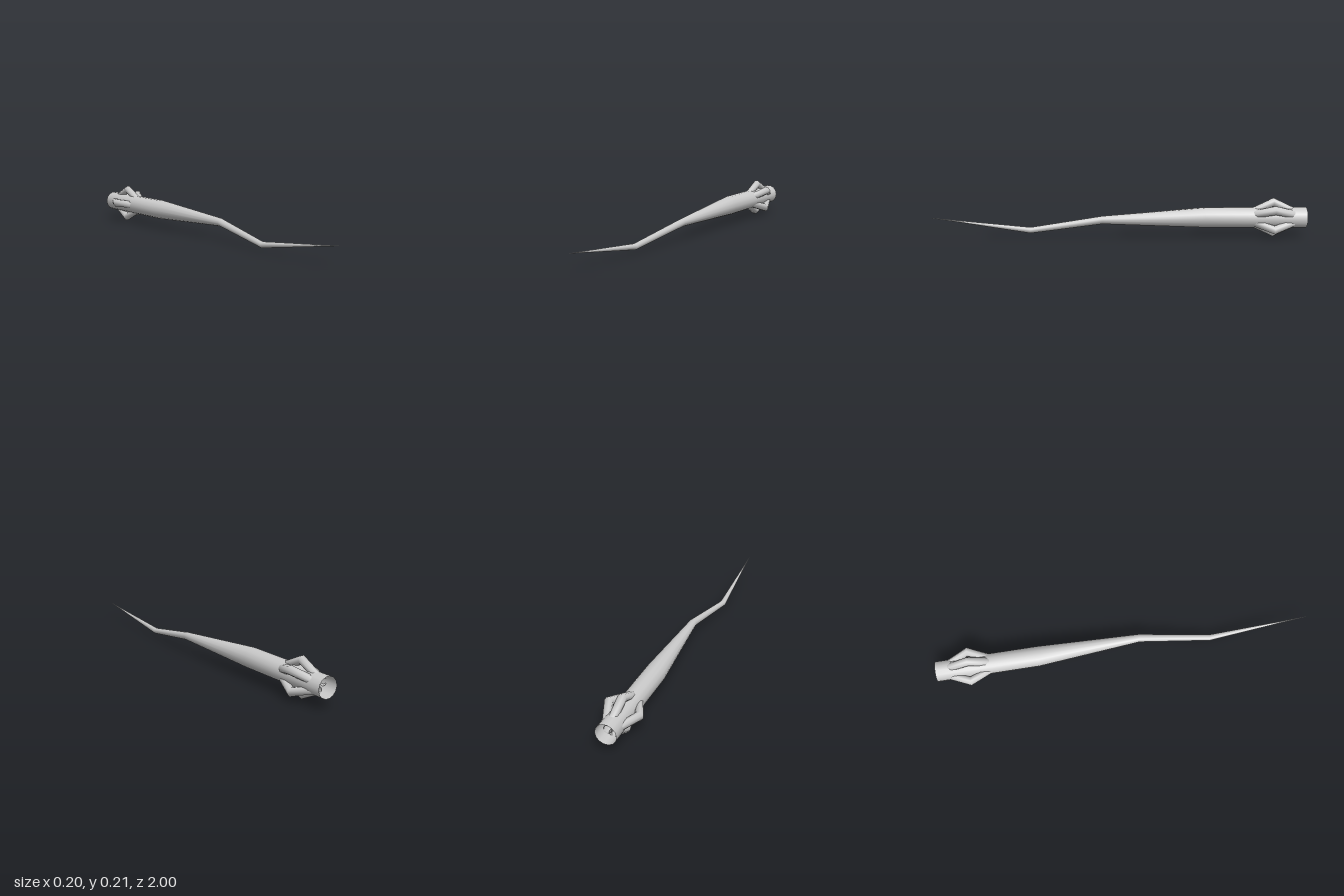
import * as THREE from 'three';

const material = new THREE.MeshStandardMaterial({ color: 0xcccccc, side: THREE.DoubleSide });

// Open tube through circular sections [x, y, z, radius], ordered along +z
function loft(name, sections, sides, phase = 0) {
  const positions = [], index = [];
  sections.forEach(([x, y, z, r], i) => {
    for (let j = 0; j < sides; j++) {
      const a = phase + (j / sides) * Math.PI * 2;
      positions.push(x + r * Math.cos(a), y + r * Math.sin(a), z);
      if (i === sections.length - 1) continue;
      const p = i * sides + j, q = i * sides + ((j + 1) % sides);
      index.push(p, q, q + sides, p, q + sides, p + sides);
    }
  });
  const geometry = new THREE.BufferGeometry();
  geometry.setAttribute('position', new THREE.Float32BufferAttribute(positions, 3));
  geometry.setIndex(index);
  geometry.computeVertexNormals();
  const mesh = new THREE.Mesh(geometry, material);
  mesh.name = name;
  return mesh;
}

export function createModel() {
  const model = new THREE.Group();
  model.name = 'crookedSpike';
  const cx = 0.01, cy = 0.105;

  // Hollow shaft, open at the back, bending twice towards a sharp tip
  model.add(loft('shaft', [
    [cx, cy, -1, 0.054],
    [cx, cy, -0.46, 0.054],
    [0.03, 0.095, 0.09, 0.021],
    [-0.006, 0.033, 0.475, 0.016],
    [0.005, 0.102, 1, 0.0005],
  ], 14));

  // Five unevenly spaced bent loops round the back of the shaft
  [90, 35, -45, -97, 175].forEach((degrees, i) => {
    const loop = loft(`loop${i + 1}`, [
      [0.033, 0, -0.935, 0.021],
      [0.083, 0, -0.825, 0.0235],
      [0.033, 0, -0.715, 0.021],
    ], 8, Math.PI / 8);
    loop.position.set(cx, cy, 0);
    loop.rotation.z = THREE.MathUtils.degToRad(degrees);
    model.add(loop);
  });

  return model;
}
